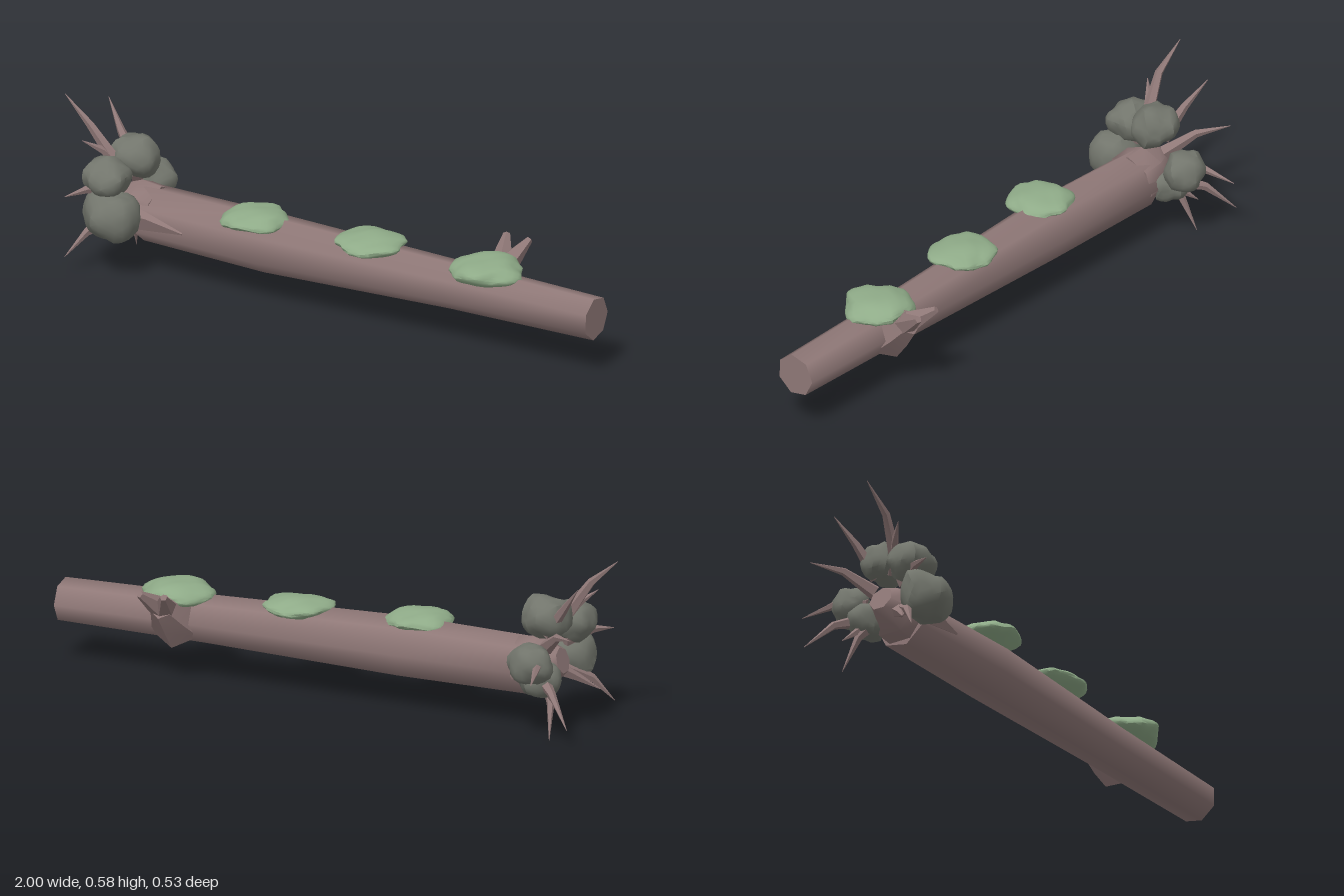
import * as THREE from 'three';
import { mergeVertices, toCreasedNormals } from 'three/addons/utils/BufferGeometryUtils.js';

const material = (name, color) => Object.assign(new THREE.MeshStandardMaterial({ color }), { name });

// Capped tube through stations [x, y, z, radius]
function limb(stations, sides, crease, turn = 0) {
  const pts = stations.map(s => new THREE.Vector3(s[0], s[1], s[2]));
  const pos = [], idx = [], n = pts.length;
  const axis = pts[n - 1].clone().sub(pts[0]).normalize();
  const ref = Math.abs(axis.y) > 0.8 ? new THREE.Vector3(1, 0, 0) : new THREE.Vector3(0, 1, 0);
  pts.forEach((p, i) => {
    const t = pts[Math.min(i + 1, n - 1)].clone().sub(pts[Math.max(i - 1, 0)]).normalize();
    const u = ref.clone().addScaledVector(t, -ref.dot(t)).normalize();
    const v = t.clone().cross(u);
    for (let k = 0; k < sides; k++) {
      const a = turn + k / sides * Math.PI * 2;
      const q = p.clone().addScaledVector(u, Math.cos(a) * stations[i][3]).addScaledVector(v, Math.sin(a) * stations[i][3]);
      pos.push(q.x, q.y, q.z);
      const k2 = (k + 1) % sides, a0 = i * sides;
      if (i < n - 1) idx.push(a0 + k, a0 + k2, a0 + sides + k, a0 + k2, a0 + sides + k2, a0 + sides + k);
    }
  });
  const last = (n - 1) * sides;
  for (let k = 1; k < sides - 1; k++) idx.push(0, k + 1, k, last, last + k, last + k + 1);
  const g = new THREE.BufferGeometry();
  g.setAttribute('position', new THREE.Float32BufferAttribute(pos, 3));
  g.setIndex(idx);
  return toCreasedNormals(g, crease);
}

// Lumpy ellipsoid, displaced by layered waves
function lump(radii, seed, amount, detail) {
  let g = new THREE.IcosahedronGeometry(1, detail);
  g.deleteAttribute('normal');
  g.deleteAttribute('uv');
  g = mergeVertices(g, 1e-4);
  const p = g.attributes.position, v = new THREE.Vector3();
  for (let i = 0; i < p.count; i++) {
    v.fromBufferAttribute(p, i);
    const wave = Math.sin(v.x * 4.1 + seed * 2.3) * Math.sin(v.y * 3.7 + seed) + Math.sin(v.z * 4.9 + seed * 1.7) * Math.cos(v.x * 3.1 - seed)
      + 0.5 * Math.sin(v.x * 9 + v.z * 8 + seed * 3);
    v.multiplyScalar(1 + amount * wave);
    p.setXYZ(i, v.x * radii[0], v.y * radii[1], v.z * radii[2]);
  }
  return toCreasedNormals(g, 0.75);
}

export function createModel() {
  const model = new THREE.Group();
  const bark = material('bark', 0x8f7877);
  const soil = material('soil', 0x72756c);
  const moss = material('moss', 0x8fab88);
  const add = (name, geometry, mat, at = [0, 0, 0]) => {
    const m = new THREE.Mesh(geometry, mat);
    m.name = name;
    m.position.set(...at);
    model.add(m);
  };

  // Fallen trunk
  add('trunk', limb([
    [-0.72, 0.205, 0.032, 0.098], [-0.25, 0.205, 0.04, 0.103],
    [0.45, 0.207, 0.022, 0.083], [1, 0.205, 0.015, 0.074],
  ], 7, 0.95, 0.2), bark);

  // Forked broken branch on the back
  add('branchBase', limb([
    [0.57, 0.2, 0, 0.1], [0.57, 0.235, -0.06, 0.07], [0.575, 0.27, -0.11, 0.043],
  ], 6, 0.9), bark);
  for (const tipX of [0.53, 0.618]) {
    add('branchFork', limb([
      [0.575, 0.245, -0.075, 0.045], [(tipX + 0.575) / 2, 0.285, -0.13, 0.03], [tipX, 0.328, -0.188, 0.012],
    ], 5, 0.9), bark);
  }

  // Soil clods around the root end: position, radii
  [
    [[-0.78, 0.388, 0.012], [0.085, 0.072, 0.078]],
    [[-0.81, 0.345, 0.14], [0.08, 0.07, 0.08]],
    [[-0.775, 0.228, 0.17], [0.105, 0.088, 0.083]],
    [[-0.785, 0.26, -0.115], [0.075, 0.068, 0.068]],
    [[-0.785, 0.19, -0.05], [0.075, 0.06, 0.065]],
  ].forEach(([at, radii], i) => add('soilClod', lump(radii, i * 1.9 + 1, 0.08, 3), soil, at));

  // Root core behind the clods
  add('rootCore', limb([
    [-0.68, 0.21, 0.03, 0.095], [-0.76, 0.22, 0.03, 0.095], [-0.83, 0.24, 0.03, 0.045],
  ], 7, 0.9), bark);

  // Thin pointed roots: start, middle, tip
  [
    [[-0.79, 0.34, 0.07], [-0.9, 0.5, 0.1], [-1, 0.585, 0.095]],
    [[-0.79, 0.34, -0.01], [-0.87, 0.44, -0.04], [-0.94, 0.525, -0.08]],
    [[-0.79, 0.34, 0.05], [-0.85, 0.42, 0.1], [-0.9, 0.46, 0.15]],
    [[-0.79, 0.29, -0.02], [-0.87, 0.355, -0.09], [-0.955, 0.375, -0.165]],
    [[-0.79, 0.25, -0.05], [-0.83, 0.265, -0.16], [-0.86, 0.235, -0.265]],
    [[-0.79, 0.2, -0.05], [-0.87, 0.17, -0.13], [-0.955, 0.075, -0.19]],
    [[-0.79, 0.19, -0.01], [-0.83, 0.12, -0.06], [-0.85, 0.005, -0.11]],
    [[-0.79, 0.2, 0.1], [-0.87, 0.15, 0.165], [-0.925, 0.065, 0.22]],
    [[-0.8, 0.29, 0.1], [-0.86, 0.31, 0.19], [-0.9, 0.3, 0.262]],
    [[-0.79, 0.2, 0.07], [-0.84, 0.16, 0.12], [-0.9, 0.115, 0.165]],
    [[-0.79, 0.18, -0.02], [-0.83, 0.145, -0.06], [-0.88, 0.1, -0.09]],
  ].forEach(([a, b, c]) => add('root', limb([[...a, 0.026], [...b, 0.014], [...c, 0.001]], 5, 0.9), bark));

  // Root ridge running onto the front of the trunk
  add('rootRidge', limb([
    [-0.76, 0.22, 0.1, 0.055], [-0.66, 0.215, 0.1, 0.042], [-0.53, 0.2, 0.125, 0.004],
  ], 5, 0.9), bark);

  // Moss pads along the top
  [
    [[-0.28, 0.296, 0.075], [0.115, 0.033, 0.108]],
    [[0.145, 0.292, 0.035], [0.115, 0.032, 0.108]],
    [[0.58, 0.288, 0.018], [0.12, 0.04, 0.115]],
  ].forEach(([at, radii], i) => add('mossPad', lump(radii, i * 2.7 + 0.6, 0.07, 4), moss, at));

  return model;
}
